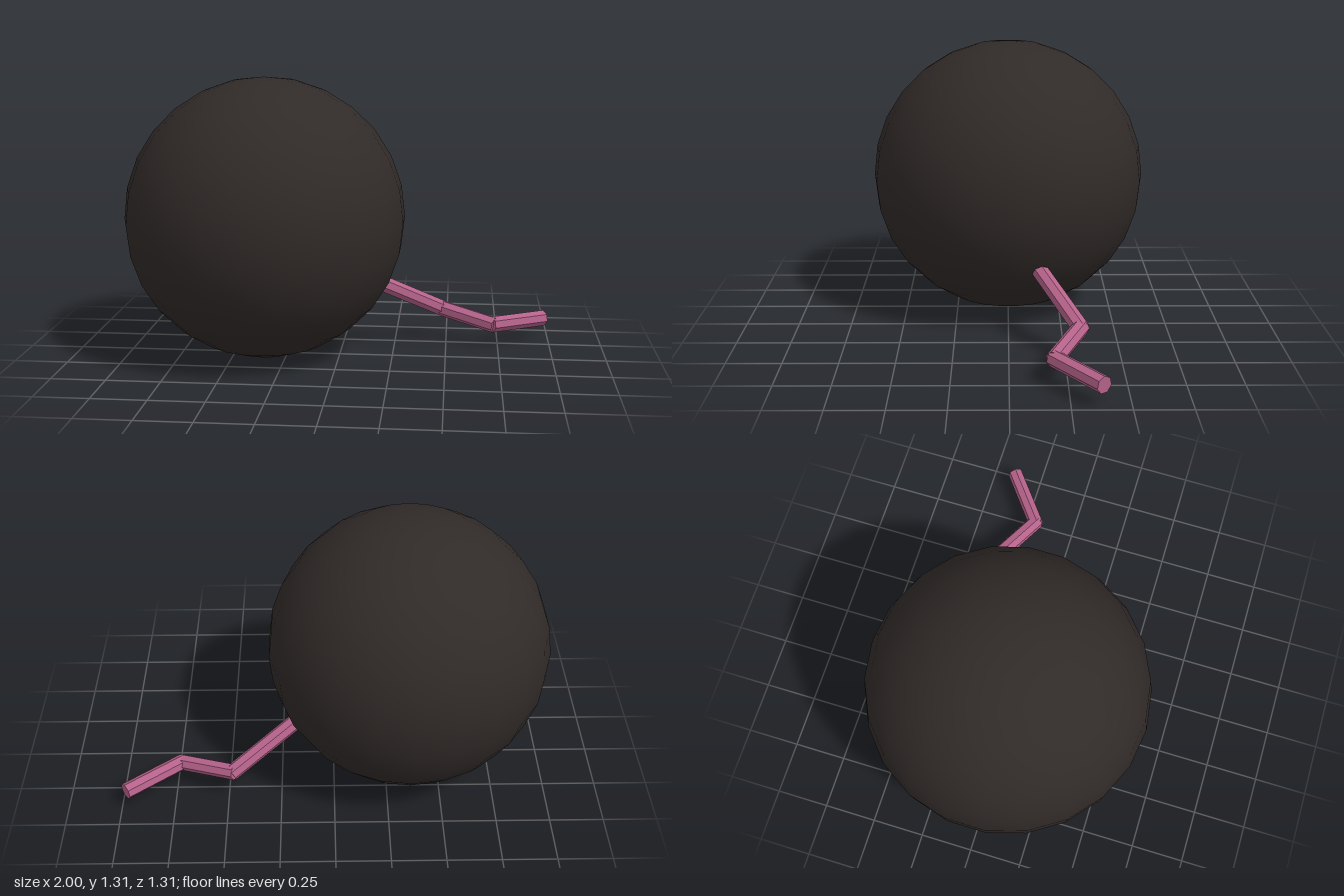
import * as THREE from 'three';

const bodyMat = new THREE.MeshStandardMaterial({ color: 0x302a28 });
const tailMat = new THREE.MeshStandardMaterial({ color: 0xb5628a, flatShading: true });

// Faceted rod between two points, lengthened a little so neighbours overlap at the bends
function rod(a, b, radius, overlapStart, overlapEnd) {
  const dir = b.clone().sub(a).normalize();
  const start = a.clone().addScaledVector(dir, -overlapStart);
  const end = b.clone().addScaledVector(dir, overlapEnd);
  const mesh = new THREE.Mesh(
    new THREE.CylinderGeometry(radius, radius, start.distanceTo(end), 7), tailMat);
  mesh.position.copy(start).add(end).multiplyScalar(0.5);
  mesh.quaternion.setFromUnitVectors(new THREE.Vector3(0, 1, 0), dir);
  return mesh;
}

export function createModel() {
  const model = new THREE.Group();
  model.name = 'ballWithTail';

  // Round body, turned so that corners of its outline lie on the z axis
  const R = 0.656;
  const body = new THREE.Mesh(new THREE.SphereGeometry(R, 22, 14), bodyMat);
  body.name = 'body';
  body.rotation.y = Math.PI / 2;
  body.position.set(-0.35, R, 0);
  model.add(body);

  // Zigzag tail, rooted inside the body
  const tail = new THREE.Group();
  tail.name = 'tail';
  const joints = [
    [0.15, 0.335, -0.13],
    [0.475, 0.155, -0.315],
    [0.725, 0.11, -0.193],
    [0.976, 0.098, -0.383],
  ].map((p) => new THREE.Vector3(...p));
  for (let i = 0; i < 3; i++) {
    const segment = rod(joints[i], joints[i + 1], 0.039, i > 0 ? 0.01 : 0, i < 2 ? 0.01 : 0);
    segment.name = 'tailSegment' + (i + 1);
    tail.add(segment);
  }
  model.add(tail);
  return model;
}
